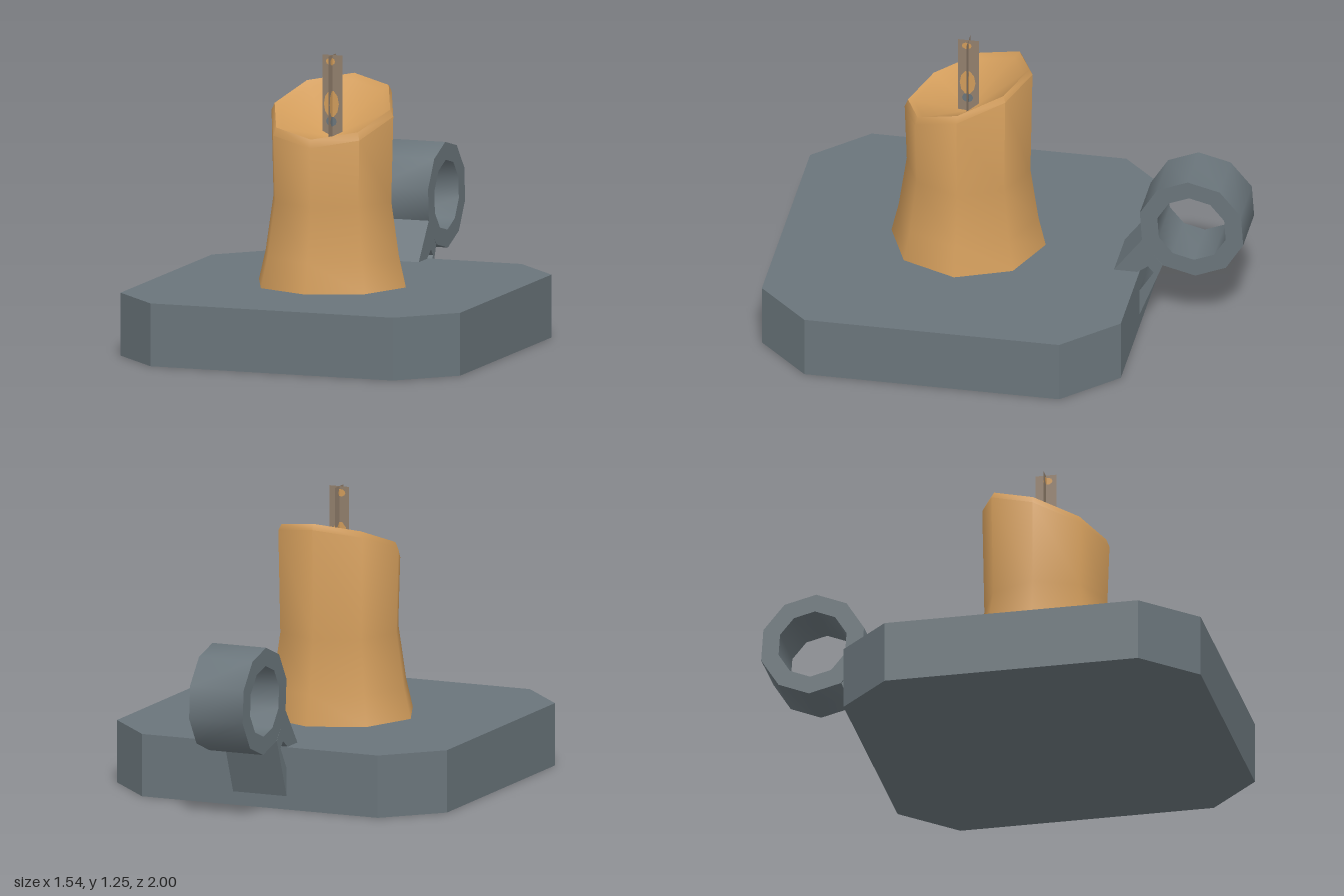
import * as THREE from 'three';
import { mergeVertices, toCreasedNormals } from 'three/addons/utils/BufferGeometryUtils.js';

const CX = -0.02, CZ = 0.215; // candle axis

export function createModel() {
  const model = new THREE.Group();
  const metal = new THREE.MeshStandardMaterial({ color: 0x6a757b });
  const wax = new THREE.MeshStandardMaterial({ color: 0xd19c5b });
  const wickBrown = new THREE.MeshStandardMaterial({ color: 0x927f6c, side: THREE.DoubleSide });
  metal.name = 'pewter';
  wax.name = 'wax';
  wickBrown.name = 'wick brown';

  const add = (parent, name, geometry, material) => {
    const mesh = new THREE.Mesh(geometry, material);
    mesh.name = name;
    parent.add(mesh);
    return mesh;
  };
  const shapeOf = (pts) => new THREE.Shape(pts.map(([x, y]) => new THREE.Vector2(x, y)));

  // Base slab with cut corners (shape y is -z)
  const plan = shapeOf([
    [-0.55, -1], [0.55, -1], [0.77, -0.775], [0.77, 0.325],
    [0.55, 0.55], [-0.55, 0.55], [-0.77, 0.325], [-0.77, -0.775],
  ]);
  const slab = new THREE.ExtrudeGeometry(plan, { depth: 0.27, bevelEnabled: false });
  slab.rotateX(-Math.PI / 2);
  add(model, 'base', slab, metal);

  // Finger ring and its two struts: side profiles (-z, y) extruded across x
  const handle = new THREE.Group();
  handle.name = 'handle';
  model.add(handle);
  const across = (shape) => {
    const g = new THREE.ExtrudeGeometry(shape, { depth: 0.25, bevelEnabled: false });
    g.rotateY(Math.PI / 2).translate(-0.125, 0, 0);
    return toCreasedNormals(g, 0.7);
  };
  const decagon = (r) => Array.from({ length: 10 }, (_, i) => {
    const a = THREE.MathUtils.degToRad(94 + i * 36);
    return [0.775 + r * Math.cos(a), 0.51 + r * Math.sin(a)];
  });
  const ring = shapeOf(decagon(0.23));
  ring.holes.push(shapeOf(decagon(0.152)));
  add(handle, 'fingerRing', across(ring), metal);
  add(handle, 'upperStrut', across(shapeOf([
    [0.44, 0.27], [0.54, 0.27], [0.59, 0.305], [0.615, 0.36], [0.56, 0.43],
  ])), metal);
  add(handle, 'lowerStrut', across(shapeOf([
    [0.545, 0.045], [0.65, 0.315], [0.615, 0.36], [0.585, 0.305], [0.612, 0.275], [0.545, 0.17],
  ])), metal);

  // Candle: eight-sided flared body, slanted rim and hollow melted top
  const profile = [
    [0.333, 0.27], [0.302, 0.4], [0.267, 0.635], [0.276, 1.0],
    [0.262, 1.03], [0.235, 1.015], [0, 0.9],
  ].map(([r, y]) => new THREE.Vector2(r, y));
  let body = new THREE.LatheGeometry(profile, 8);
  const pos = body.attributes.position;
  for (let i = 0; i < pos.count; i++) {
    // Slant only the rings near the rim
    if (pos.getY(i) > 0.8) pos.setY(i, pos.getY(i) - 0.4 * pos.getZ(i));
  }
  body.deleteAttribute('uv');
  body.deleteAttribute('normal');
  body = toCreasedNormals(mergeVertices(body), 0.9);
  add(model, 'candle', body, wax).position.set(CX, 0, CZ);

  // Wick: two crossed strips with small painted patches
  const wick = new THREE.Group();
  wick.name = 'wick';
  wick.position.set(CX, 0, CZ);
  model.add(wick);
  const patches = [
    [-0.008, 1.222, 0.021, 0.016, wax],
    [-0.004, 1.04, 0.034, 0.058, wax],
    [-0.004, 0.965, 0.024, 0.022, metal],
  ];
  for (const turn of [0, Math.PI / 2]) {
    const strip = new THREE.Group();
    strip.name = 'wickStrip';
    strip.rotation.y = turn;
    wick.add(strip);
    add(strip, 'strip', new THREE.PlaneGeometry(0.09, 0.35), wickBrown).position.y = 1.075;
    for (const [x, y, rx, ry, material] of patches) {
      for (const side of [1, -1]) {
        const patch = add(strip, 'wickPatch', new THREE.CircleGeometry(1, 10), material);
        patch.scale.set(rx, ry, 1);
        patch.position.set(x, y, 0.002 * side);
        if (side < 0) patch.rotation.y = Math.PI;
      }
    }
  }
  return model;
}
